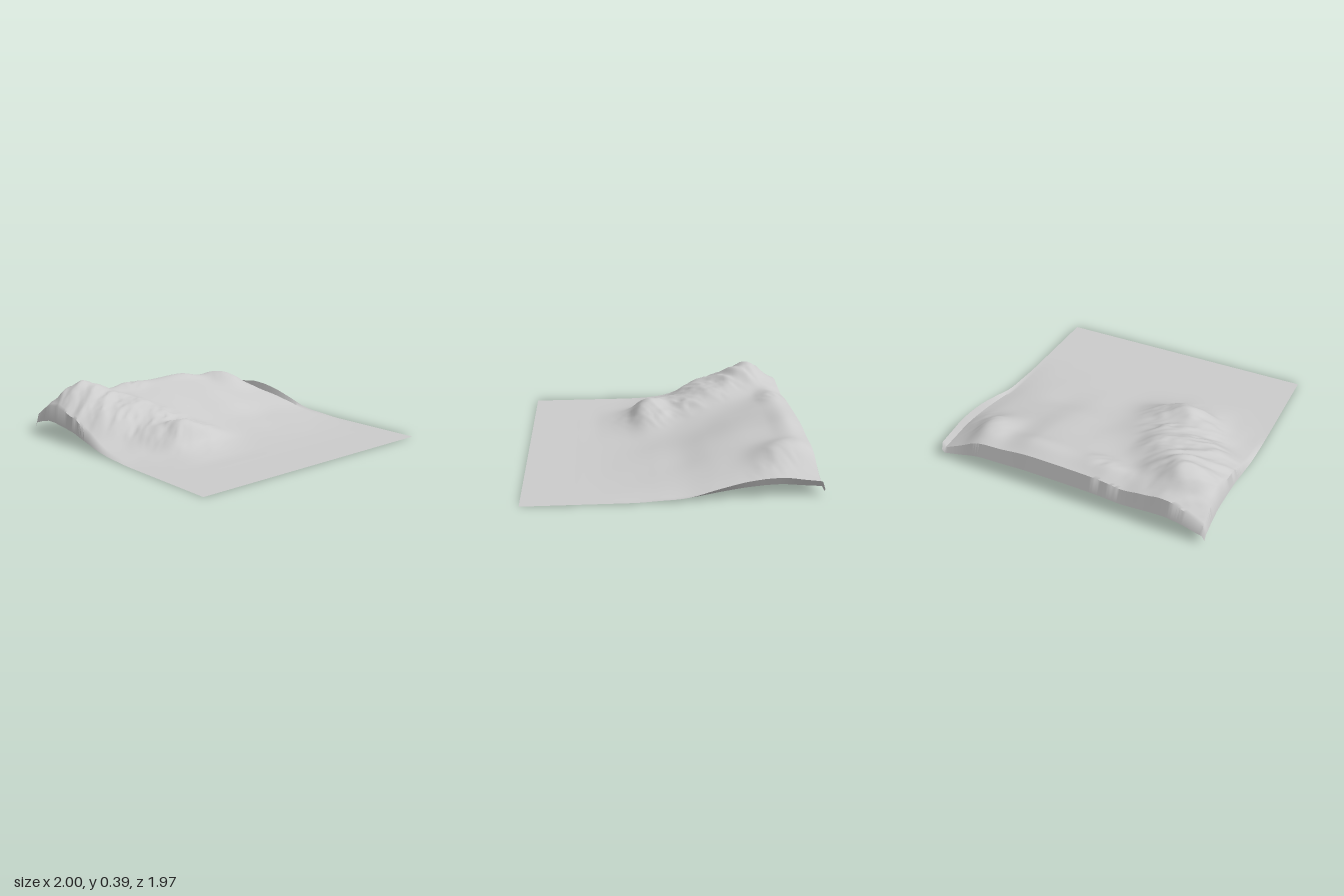
import * as THREE from 'three';
import { toCreasedNormals } from 'three/addons/utils/BufferGeometryUtils.js';

// Broad relief: heights along cross-sections, from the back ridge to the flat front
const XS = [-0.98, -0.85, -0.72, -0.55, -0.4, -0.25, 0, 0.3, 0.5, 0.7, 0.85, 0.98];
const SECTIONS = [
  [-0.97, [0.13, 0.2, 0.24, 0.23, 0.21, 0.23, 0.24, 0.24, 0.22, 0.2, 0.13, 0.07]],
  [-0.85, [0.2, 0.28, 0.31, 0.28, 0.26, 0.285, 0.275, 0.285, 0.245, 0.25, 0.15, 0.08]],
  [-0.72, [0.22, 0.33, 0.375, 0.31, 0.25, 0.24, 0.25, 0.25, 0.22, 0.25, 0.16, 0.09]],
  [-0.5, [0.2, 0.25, 0.28, 0.275, 0.25, 0.2, 0.19, 0.2, 0.17, 0.15, 0.12, 0.08]],
  [-0.3, [0.12, 0.18, 0.21, 0.23, 0.22, 0.17, 0.13, 0.14, 0.12, 0.1, 0.08, 0.05]],
  [-0.1, [0.04, 0.07, 0.12, 0.155, 0.155, 0.13, 0.08, 0.075, 0.06, 0.055, 0.04, 0.015]],
  [0.1, [0.01, 0.02, 0.05, 0.14, 0.175, 0.125, 0.045, 0.04, 0.035, 0.03, 0.02, 0.005]],
  [0.25, [0, 0.005, 0.015, 0.05, 0.06, 0.045, 0.02, 0.02, 0.02, 0.015, 0.01, 0]],
  [0.45, [0, 0, 0.002, 0.006, 0.008, 0.006, 0.005, 0.005, 0.005, 0.004, 0.002, 0]],
  [0.65, [0, 0, 0, 0, 0, 0, 0, 0, 0, 0, 0, 0]],
];
const ZS = SECTIONS.map((s) => s[0]);

// Smooth curve through unevenly spaced samples
function smoothCurve(ts, vs, t) {
  const n = ts.length;
  t = THREE.MathUtils.clamp(t, ts[0], ts[n - 1]);
  let i = 0;
  while (i < n - 2 && t > ts[i + 1]) i++;
  const slope = (k) => {
    const a = Math.max(k - 1, 0), b = Math.min(k + 1, n - 1);
    return (vs[b] - vs[a]) / (ts[b] - ts[a]);
  };
  const d = ts[i + 1] - ts[i], u = (t - ts[i]) / d, u2 = u * u, u3 = u2 * u;
  return (2 * u3 - 3 * u2 + 1) * vs[i] + (3 * u2 - 2 * u3) * vs[i + 1]
    + d * ((u3 - 2 * u2 + u) * slope(i) + (u3 - u2) * slope(i + 1));
}

// Seeded value noise in 0..1
function hash(i, j) {
  let h = Math.imul(i, 374761393) ^ Math.imul(j, 668265263) ^ 1013;
  h = Math.imul(h ^ (h >>> 13), 1274126177);
  return ((h ^ (h >>> 16)) >>> 0) / 4294967295;
}
function noise(x, y) {
  const i = Math.floor(x), j = Math.floor(y);
  const u = THREE.MathUtils.smoothstep(x - i, 0, 1), v = THREE.MathUtils.smoothstep(y - j, 0, 1);
  const { lerp } = THREE.MathUtils;
  return lerp(lerp(hash(i, j), hash(i + 1, j), u), lerp(hash(i, j + 1), hash(i + 1, j + 1), u), v);
}

// Sharp-crested gullies, stretched along the diagonal fall lines
function crags(x, z) {
  const along = x * 0.85 - z * 0.53, across = x * 0.53 + z * 0.85;
  let sum = 0, amp = 1, f = 6;
  for (let o = 0; o < 3; o++, amp *= 0.5, f *= 2) {
    sum += amp * (0.5 - Math.abs(2 * noise(along * f * 0.6 + o * 17, across * f * 1.4) - 1));
  }
  return sum;
}

// Where the rock is rough: the mountain spine and two small outcrops on the back ridge
function roughness(x, z) {
  const near = (ax, az, bx, bz, inner, outer) => {
    const dx = bx - ax, dz = bz - az;
    const t = THREE.MathUtils.clamp(((x - ax) * dx + (z - az) * dz) / (dx * dx + dz * dz), 0, 1);
    return 1 - THREE.MathUtils.smoothstep(Math.hypot(x - ax - t * dx, z - az - t * dz), inner, outer);
  };
  return Math.max(
    near(-0.8, -0.72, -0.42, 0.08, 0.12, 0.4),
    0.6 * near(0.72, -0.8, 0.85, -0.65, 0.02, 0.2),
    0.5 * near(-0.35, -0.87, -0.22, -0.83, 0.02, 0.16),
  );
}

function height(x, z) {
  const column = SECTIONS.map((s) => smoothCurve(XS, s[1], x));
  const base = Math.max(0, smoothCurve(ZS, column, z));
  const strength = roughness(x, z) * Math.min(1, base / 0.1);
  return Math.max(0, base + 0.026 * strength * crags(x, z));
}

export function createModel() {
  const group = new THREE.Group();
  const N = 100, DEPTH = 0.985;
  const grid = new THREE.PlaneGeometry(2, 2 * DEPTH, N, N).rotateX(-Math.PI / 2);
  const pos = grid.attributes.position;

  for (let row = 0; row <= N; row++) {
    for (let col = 0; col <= N; col++) {
      const k = row * (N + 1) + col;
      const x = pos.getX(k), z = pos.getZ(k);
      let y = height(x, z);
      // Outermost rows: the back and right rims drop, the left rim turns up
      if (row === 0) y *= 0.5;
      if (col === 0) y *= 0.5;
      if (col === N) y *= 1.6;
      pos.setY(k, y);
    }
  }

  const terrain = new THREE.Mesh(
    toCreasedNormals(grid, 0.9),
    new THREE.MeshStandardMaterial({ color: 0xcccccc, side: THREE.DoubleSide }),
  );
  terrain.name = 'mountainTerrain';
  group.add(terrain);
  return group;
}
